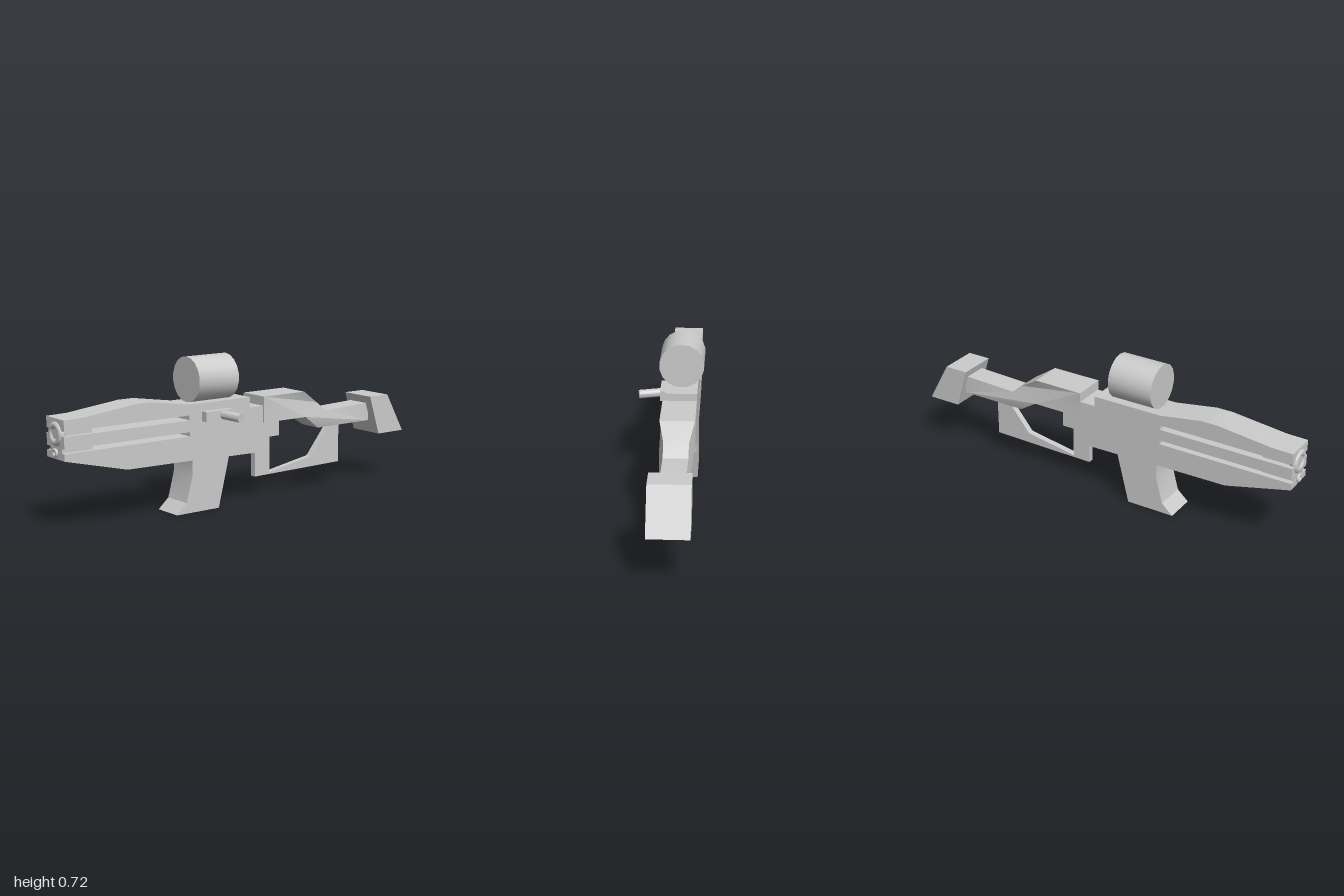
import * as THREE from 'three';
import { toCreasedNormals } from 'three/addons/utils/BufferGeometryUtils.js';

const MID = -0.055; // x of the centre plane

export function createModel() {
  const group = new THREE.Group();
  const mat = new THREE.MeshStandardMaterial({ color: 0xcccccc });

  function add(name, geo) {
    const mesh = new THREE.Mesh(geo, mat);
    mesh.name = name;
    group.add(mesh);
    return mesh;
  }

  // side profile of [z, y] points, extruded across x
  function slab(points, x0, x1) {
    const shape = new THREE.Shape(points.map(([z, y]) => new THREE.Vector2(z, y)));
    const geo = new THREE.ExtrudeGeometry(shape, { depth: x1 - x0, bevelEnabled: false });
    geo.rotateY(-Math.PI / 2);
    geo.translate(x1, 0, 0);
    return geo;
  }
  const crease = (geo) => toCreasedNormals(geo, 0.5);

  function box(name, x0, x1, y0, y1, z0, z1) {
    const mesh = add(name, new THREE.BoxGeometry(x1 - x0, y1 - y0, z1 - z0));
    mesh.position.set((x0 + x1) / 2, (y0 + y1) / 2, (z0 + z1) / 2);
  }

  // receiver, three-pronged fore-end and front grip in one outline
  add('body', crease(slab([
    [0.99, 0.51], [0.89, 0.512], [0.62, 0.543], [0.54, 0.543], [0.33, 0.51], [-0.02, 0.51],
    [-0.02, 0.46], [-0.11, 0.46], [-0.11, 0.305], [-0.065, 0.305], [-0.065, 0.237],
    [0.105, 0.24], [0.165, 0], [0.405, 0], [0.35, 0.05], [0.315, 0.18], [0.317, 0.247],
    [0.67, 0.252], [0.99, 0.33],
    [0.99, 0.362], [0.33, 0.362], [0.33, 0.382], [0.99, 0.382],
    [0.99, 0.437], [0.33, 0.437], [0.33, 0.46], [0.99, 0.46],
  ], -0.13, 0.02)));

  // core filling the slots at the muzzle
  box('muzzleCore', -0.103, -0.005, 0.35, 0.47, 0.835, 0.988);
  box('rearBlock', -0.13, 0.02, 0.305, 0.38, -0.2, -0.06);

  // muzzle rings with their bores
  for (const [name, y, ring, tube] of [['muzzle', 0.441, 0.039, 0.018], ['lowerMuzzle', 0.357, 0.014, 0.007]]) {
    add(name + 'Ring', new THREE.TorusGeometry(ring, tube, 16, 32)).position.set(MID, y, 1 - tube);
    const bore = add(name + 'Bore', new THREE.CylinderGeometry(ring * 0.6, ring * 0.6, 0.02, 24));
    bore.rotation.x = Math.PI / 2;
    bore.position.set(MID, y, 0.982);
  }

  // scope drum
  const scope = add('scope', crease(new THREE.CylinderGeometry(0.107, 0.107, 0.225, 18)));
  scope.rotation.x = Math.PI / 2;
  scope.position.set(-0.053, 0.615, 0.183);

  // side bolt and its handle
  box('boltPlate', 0.01, 0.053, 0.425, 0.472, 0.105, 0.26);
  const from = new THREE.Vector3(0.03, 0.45, 0.162);
  const to = new THREE.Vector3(0.155, 0.445, 0.138);
  const handle = add('boltHandle', crease(new THREE.CylinderGeometry(0.021, 0.021, from.distanceTo(to), 16)));
  handle.position.copy(from).lerp(to, 0.5);
  handle.quaternion.setFromUnitVectors(new THREE.Vector3(0, 1, 0), to.clone().sub(from).normalize());

  // stock, narrowing behind the cheek rest
  const stock = slab([
    [-0.1, 0.505], [-0.35, 0.505], [-0.45, 0.44], [-0.51, 0.392], [-0.8, 0.402],
    [-0.8, 0.31], [-0.46, 0.31], [-0.36, 0.378], [-0.1, 0.378],
  ], -0.08, 0.08);
  const p = stock.attributes.position;
  for (let i = 0; i < p.count; i++) {
    p.setX(i, -0.051 + p.getX(i) * (p.getZ(i) < -0.4 ? 0.71 : 1));
  }
  add('stock', crease(stock));

  // shoulder pad
  add('buttPad', crease(slab([
    [-0.77, 0.44], [-0.89, 0.44], [-1, 0.243], [-0.833, 0.243],
  ], -0.136, 0.051)));

  // thin frame under the stock
  add('lowerFrame', crease(slab([
    [-0.095, 0.315], [-0.095, 0.104], [-0.635, 0.11], [-0.635, 0.315], [-0.575, 0.315],
    [-0.45, 0.16], [-0.185, 0.115], [-0.185, 0.315],
  ], -0.066, -0.036)));

  return group;
}
